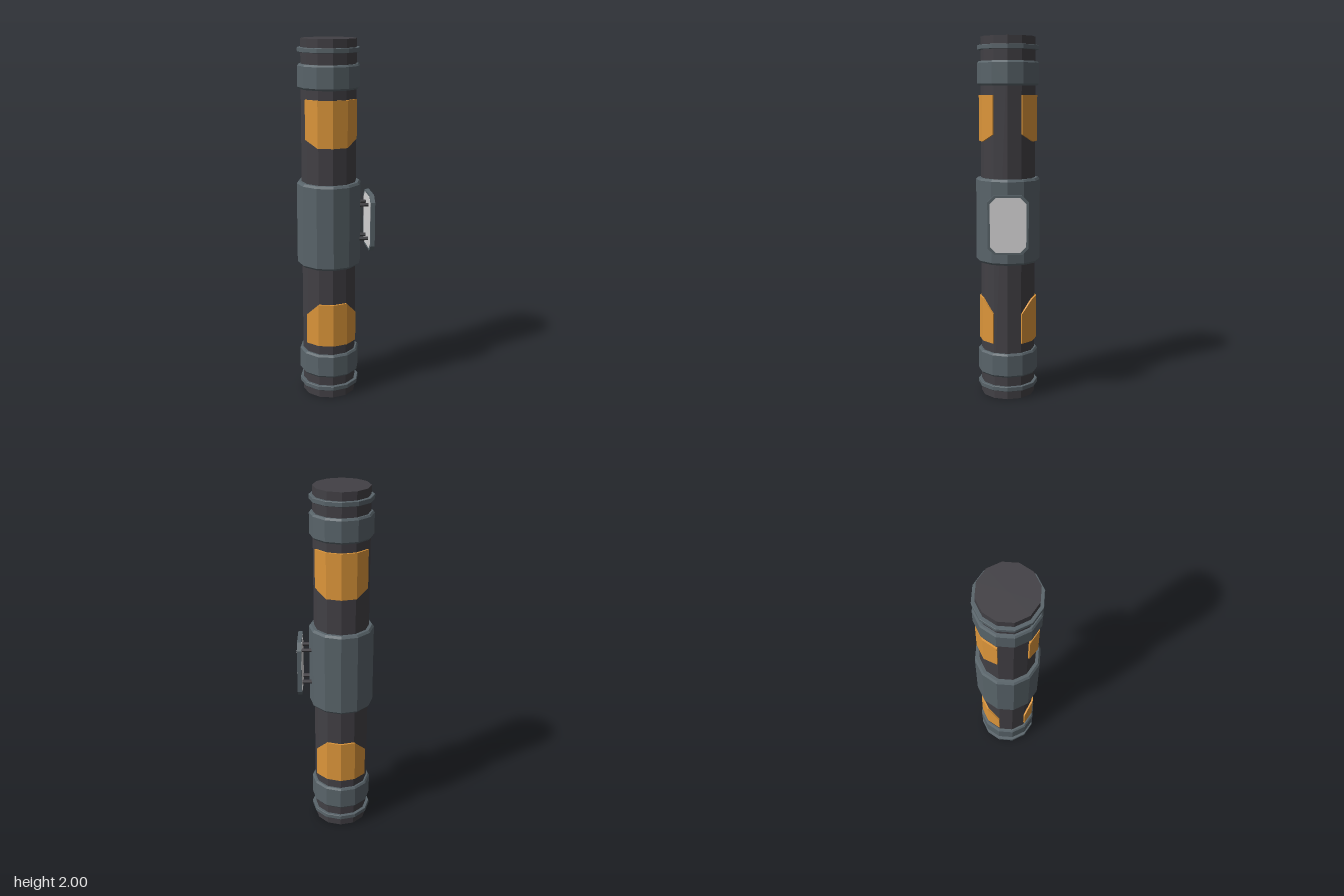
import * as THREE from 'three';

const SIDES = 12;

function material(name, color) {
  const m = new THREE.MeshStandardMaterial({ color, flatShading: true });
  m.name = name;
  return m;
}

// Bevelled band around the shaft, from y0 to y1
function bandGeometry(radius, y0, y1, bevelR, bevelY) {
  const inner = 0.14;
  const points = [
    [inner, y0], [radius - bevelR, y0], [radius, y0 + bevelY],
    [radius, y1 - bevelY], [radius - bevelR, y1], [inner, y1],
  ].map(([r, y]) => new THREE.Vector2(r, y));
  return new THREE.LatheGeometry(points, SIDES);
}

// Curved panel wrapping four facets; columns hold the [low, high] of each edge
function panelGeometry(columns, rOuter, rInner) {
  const positions = [];
  const index = [];
  columns.forEach(([low, high], i) => {
    const a = (i - (columns.length - 1) / 2) * (Math.PI * 2 / SIDES);
    for (const [r, y] of [[rOuter, low], [rOuter, high], [rInner, high], [rInner, low]]) {
      positions.push(Math.sin(a) * r, y, Math.cos(a) * r);
    }
  });
  const last = (columns.length - 1) * 4;
  for (let i = 0; i < last; i += 4) {
    for (let k = 0; k < 4; k++) {
      const n = (k + 1) % 4;
      index.push(i + k, i + 4 + k, i + 4 + n, i + k, i + 4 + n, i + n);
    }
  }
  index.push(0, 1, 2, 0, 2, 3, last, last + 2, last + 1, last, last + 3, last + 2);
  const g = new THREE.BufferGeometry();
  g.setAttribute('position', new THREE.Float32BufferAttribute(positions, 3));
  g.setIndex(index);
  g.computeVertexNormals();
  return g;
}

// Rectangle with cut corners, extruded along x and centred on the origin
function plateGeometry(width, height, cut, depth) {
  const w = width / 2, h = height / 2;
  const shape = new THREE.Shape([
    [-w + cut, -h], [w - cut, -h], [w, -h + cut], [w, h - cut],
    [w - cut, h], [-w + cut, h], [-w, h - cut], [-w, -h + cut],
  ].map(([x, y]) => new THREE.Vector2(x, y)));
  const g = new THREE.ExtrudeGeometry(shape, { depth, bevelEnabled: false });
  g.translate(0, 0, -depth / 2);
  g.rotateY(Math.PI / 2);
  return g;
}

export function createModel() {
  const dark = material('dark metal', 0x424045);
  const steel = material('blue grey steel', 0x59646a);
  const orange = material('orange paint', 0xdd963a);
  const pale = material('pale plate', 0xd6d5d6);

  const model = new THREE.Group();
  model.name = 'cylinderDevice';
  const add = (parent, name, geometry, mat, x = 0, y = 0, z = 0) => {
    const mesh = new THREE.Mesh(geometry, mat);
    mesh.name = name;
    mesh.position.set(x, y, z);
    parent.add(mesh);
    return mesh;
  };

  // Shaft and its fittings share an axis slightly off centre
  const barrel = new THREE.Group();
  barrel.name = 'barrel';
  barrel.position.x = -0.032;
  model.add(barrel);

  add(barrel, 'shaft', new THREE.CylinderGeometry(0.15, 0.15, 2, SIDES), dark, 0, 1, 0);
  add(barrel, 'middleSleeve', bandGeometry(0.177, 0.77, 1.24, 0.01, 0.012), steel);
  for (const [end, y0, y1, r0, r1] of [
    ['lower', 0.13, 0.265, 0.05, 0.075],
    ['upper', 1.74, 1.87, 1.93, 1.955],
  ]) {
    add(barrel, end + 'Band', bandGeometry(0.168, y0, y1, 0.008, 0.01), steel);
    add(barrel, end + 'Ring', bandGeometry(0.168, r0, r1, 0.002, 0.002), steel);
  }

  // Orange panels on front and back, corners cut towards the middle
  const upper = [[1.48, 1.69], [1.44, 1.69], [1.44, 1.69], [1.44, 1.69], [1.48, 1.69]];
  const lower = [[0.32, 0.49], [0.32, 0.565], [0.32, 0.565], [0.32, 0.565], [0.32, 0.49]];
  for (const [side, turn] of [['front', 0], ['back', Math.PI]]) {
    add(barrel, side + 'UpperPanel', panelGeometry(upper, 0.16, 0.145), orange).rotation.y = turn;
    add(barrel, side + 'LowerPanel', panelGeometry(lower, 0.16, 0.145), orange).rotation.y = turn;
  }

  // Side plate on four posts
  const plate = new THREE.Group();
  plate.name = 'sidePlate';
  plate.position.set(0.195, 1.005, -0.004);
  model.add(plate);
  add(plate, 'plateFrame', plateGeometry(0.22, 0.32, 0.036, 0.024), steel);
  add(plate, 'plateFace', plateGeometry(0.194, 0.294, 0.031, 0.026), pale);
  for (const y of [-0.097, 0.097]) {
    for (const z of [-0.04, 0.04]) {
      const post = add(plate, 'post', new THREE.CylinderGeometry(0.0105, 0.0105, 0.08, 6), dark, -0.05, y, z);
      post.rotation.z = Math.PI / 2;
    }
  }
  return model;
}
